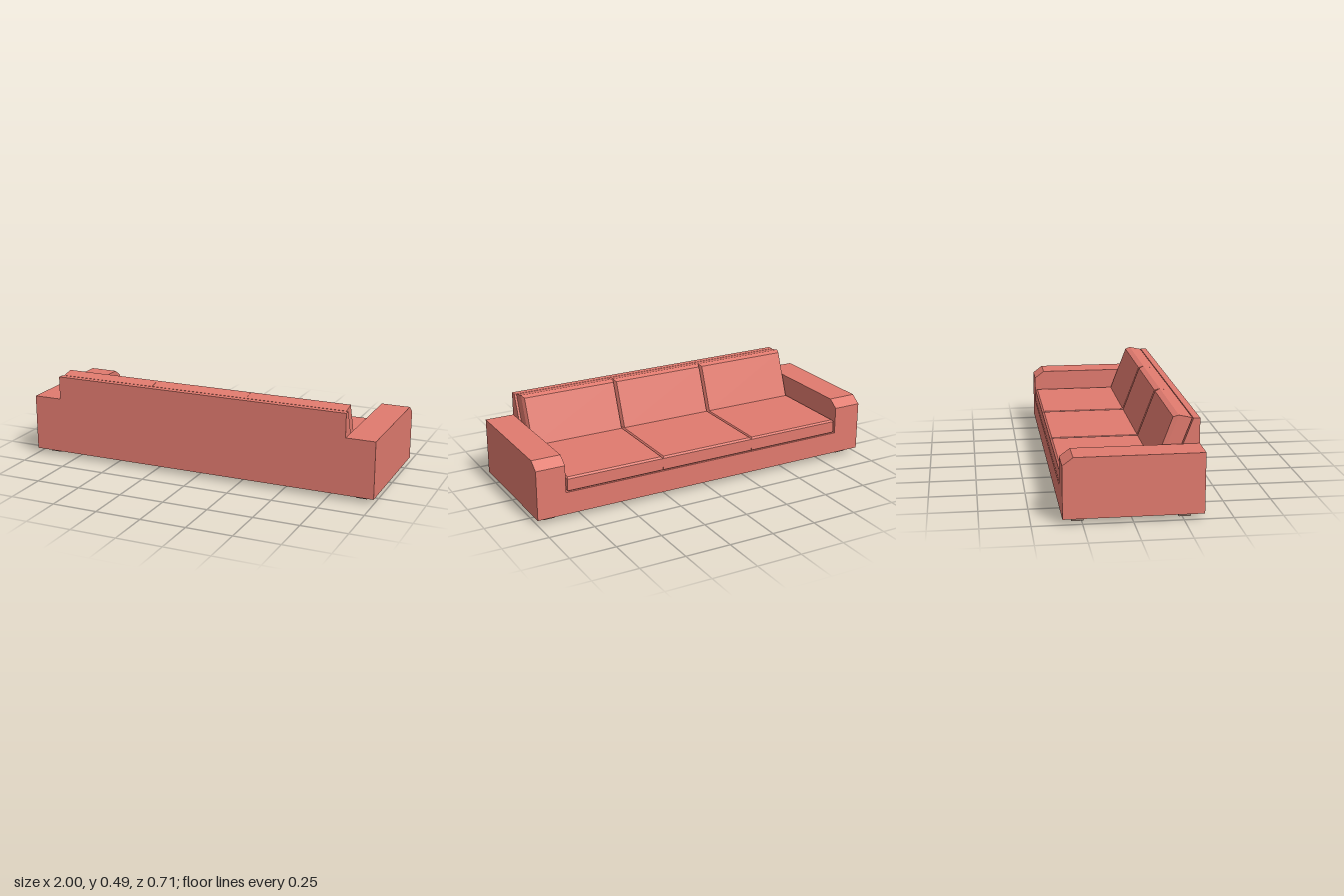
import * as THREE from 'three';
import { ConvexGeometry } from 'three/addons/geometries/ConvexGeometry.js';

const fabric = new THREE.MeshStandardMaterial({ color: 0xe07a6e, flatShading: true });
const wood = new THREE.MeshStandardMaterial({ color: 0x9c8577, flatShading: true });

// Side profile given as [z, y] points, extruded from x0 to x1
function extrudeX(points, x0, x1) {
  const shape = new THREE.Shape(points.map(([z, y]) => new THREE.Vector2(-z, y)));
  const geo = new THREE.ExtrudeGeometry(shape, { depth: x1 - x0, bevelEnabled: false });
  return geo.rotateY(Math.PI / 2).translate(x0, 0, 0);
}

// Chamfered solid, symmetric in x, from [halfWidth, y, z] points
function cushion(points) {
  return new ConvexGeometry(points.flatMap(([w, y, z]) =>
    [new THREE.Vector3(-w, y, z), new THREE.Vector3(w, y, z)]));
}

export function createModel() {
  const sofa = new THREE.Group();
  sofa.name = 'sofa';
  const add = (name, geo, mat, x = 0, y = 0, z = 0) => {
    const mesh = new THREE.Mesh(geo, mat);
    mesh.name = name;
    mesh.position.set(x, y, z);
    sofa.add(mesh);
  };

  const D = 0.351, inner = 0.84, bottom = 0.028;

  // Base under the seat
  add('base', new THREE.BoxGeometry(inner * 2, 0.122, D * 2), fabric, 0, bottom + 0.061, 0);

  // Backrest with a sloping inner face
  add('backrest', extrudeX([[D, bottom], [D, 0.47], [0.317, 0.47], [0.267, 0.34],
    [0.21, 0.19], [0.21, bottom]], -inner, inner), fabric);

  // Arms, chamfered at the seat end
  const armProfile = [[D, bottom], [D, 0.34], [-0.297, 0.34], [-D, 0.3], [-D, bottom]];
  add('leftArm', extrudeX(armProfile, inner, 1), fabric);
  add('rightArm', extrudeX(armProfile, -1, -inner), fabric);

  // Three seat and three back cushions
  const w = 0.276, c = 0.007;
  const seatGeo = cushion([
    [w - c, 0.15, -0.339], [w, 0.157, -0.349], [w, 0.221, -0.349], [w - c, 0.23, -0.339],
    [w - c, 0.15, 0.21], [w, 0.157, 0.22], [w, 0.221, 0.22], [w - c, 0.23, 0.21],
  ]);
  const backGeo = cushion([
    [w - 0.009, 0.23, 0.125], [w, 0.23, 0.148],
    [w - 0.009, 0.475, 0.218], [w, 0.485, 0.246],
    [w, 0.47, 0.313], [w, 0.23, 0.221],
  ]);
  for (const x of [-0.553, 0, 0.553]) {
    add('seatCushion', seatGeo, fabric, x);
    add('backCushion', backGeo, fabric, x);
  }

  // Tapered square feet
  const legGeo = new THREE.CylinderGeometry(0.035 * Math.SQRT2, 0.03 * Math.SQRT2, 0.03, 4)
    .rotateY(Math.PI / 4);
  for (const x of [-0.918, 0.918])
    for (const z of [-0.273, 0.26]) add('leg', legGeo, wood, x, 0.015, z);

  // Very slight turn of the whole piece
  sofa.rotation.y = 0.003;
  const model = new THREE.Group();
  model.add(sofa);
  return model;
}
